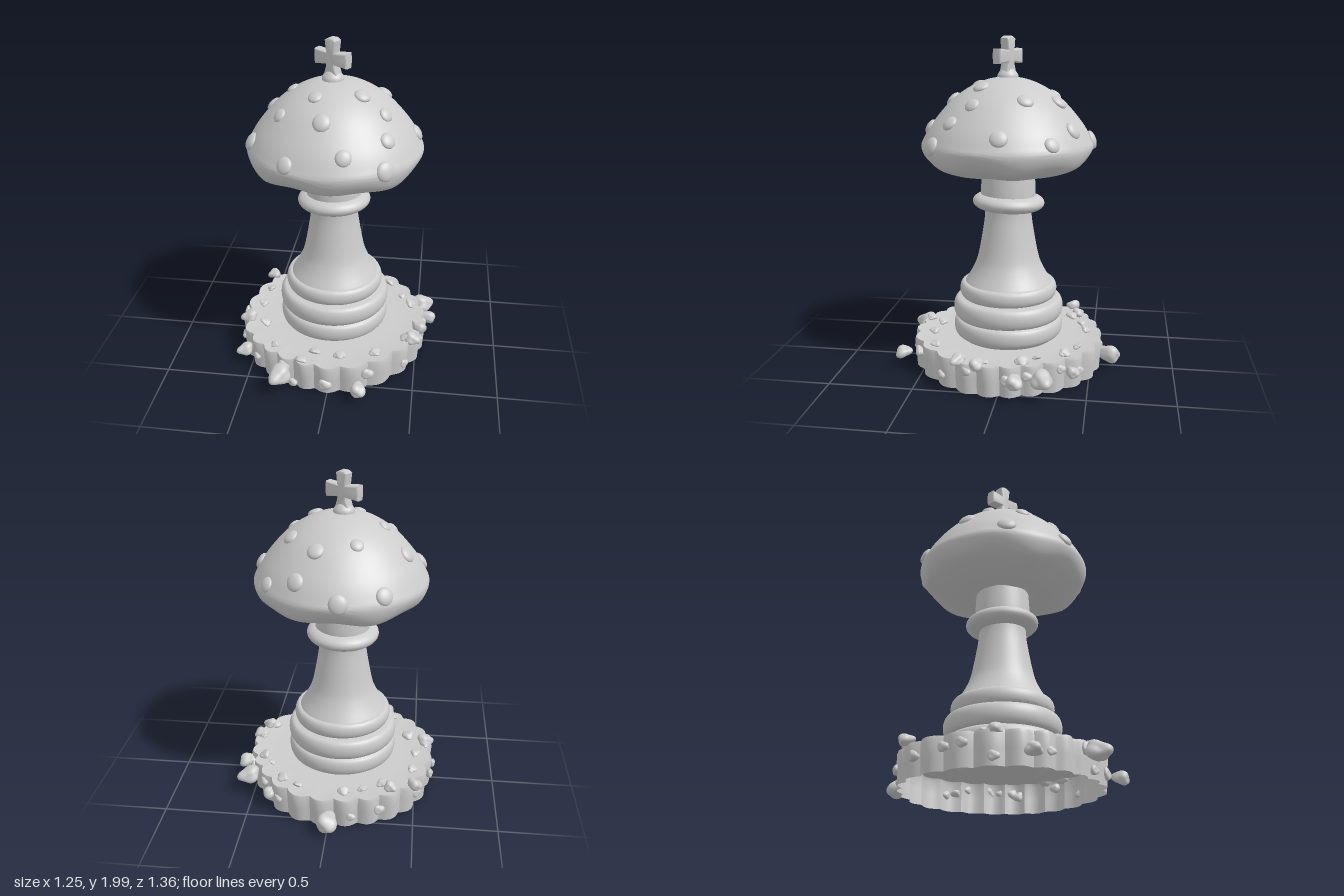
import * as THREE from 'three';
import { mergeVertices, toCreasedNormals } from 'three/addons/utils/BufferGeometryUtils.js';

const grey = new THREE.MeshStandardMaterial({ color: 0xcccccc });
const greyDouble = new THREE.MeshStandardMaterial({ color: 0xcccccc, side: THREE.DoubleSide });

let seed = 7;
const rand = () => (seed = (seed * 16807) % 2147483647) / 2147483647;
const span = (a, b) => a + (b - a) * rand();

const pts = list => list.map(([x, y]) => new THREE.Vector2(x, y));

// Smooth curve through a few profile points
const smooth = (list, n) => new THREE.SplineCurve(pts(list)).getPoints(n);

// Half-round bead for a turned profile
function bead(rIn, rOut, y0, y1) {
  return Array.from({ length: 13 }, (_, i) => {
    const a = -Math.PI / 2 + Math.PI * i / 12;
    return new THREE.Vector2(rIn + (rOut - rIn) * Math.cos(a), (y0 + y1) / 2 + (y1 - y0) / 2 * Math.sin(a));
  });
}

function add(parent, name, geometry, material = grey) {
  const mesh = new THREE.Mesh(geometry, material);
  mesh.name = name;
  parent.add(mesh);
  return mesh;
}

// Move every vertex by a rule
function warp(geometry, rule) {
  const p = geometry.attributes.position;
  const v = new THREE.Vector3();
  for (let i = 0; i < p.count; i++) {
    rule(v.fromBufferAttribute(p, i));
    p.setXYZ(i, v.x, v.y, v.z);
  }
  return geometry;
}

// Lumpy rounded stone
function stoneGeometry(k) {
  const sphere = new THREE.IcosahedronGeometry(1, 5);
  sphere.deleteAttribute('uv');
  sphere.deleteAttribute('normal');
  const stone = warp(mergeVertices(sphere), v => {
    v.multiplyScalar(1 + 0.16 * (Math.sin(3 * v.x + k) * Math.cos(3 * v.y - k) + 0.6 * Math.sin(4 * v.z + 2 * k + v.y)));
  });
  stone.computeVertexNormals();
  return stone;
}

// Upper cap profile: radius, height
const capTop = [[0.51, 1.36], [0.49, 1.42], [0.435, 1.51], [0.33, 1.63], [0.22, 1.71], [0.11, 1.755], [0, 1.77]];

// Height and steepness of the cap at a radius
function capSurface(r) {
  const i = Math.max(1, capTop.findIndex(p => p[0] <= r));
  const [r0, y0] = capTop[i - 1], [r1, y1] = capTop[i];
  const slope = (y1 - y0) / (r0 - r1);
  return { y: Math.max(y0, y0 + slope * (r0 - r)), slope };
}

function buildBase() {
  const base = new THREE.Group();
  base.name = 'base';
  // Scalloped wall and floor, hollow underneath
  const profile = pts([[0.555, 0.012], [0.56, 0.1], [0.565, 0.175], [0.56, 0.195], [0.49, 0.185], [0.4, 0.182], [0.001, 0.182]]);
  const geometry = warp(new THREE.LatheGeometry(profile, 288), v => {
    const a = Math.atan2(v.z, v.x);
    const fade = Math.pow(Math.hypot(v.x, v.z) / 0.56, 6);
    const lobe = Math.abs(Math.sin(12 * a + 0.5 * Math.sin(3 * a) + 0.5 * Math.cos(2 * a)));
    const f = 1 + fade * (0.055 * lobe - 0.025 + 0.012 * Math.sin(5 * a + 1));
    v.x *= f;
    v.z *= f;
  });
  add(base, 'scallopedBase', toCreasedNormals(geometry, 0.6), greyDouble);
  base.position.set(-0.033, 0, 0.012);
  return base;
}

function buildDebris() {
  const debris = new THREE.Group();
  debris.name = 'debris';
  const shapes = [0, 1.3, 2.9, 4.4].map(stoneGeometry);
  let count = 0;
  // Half sizes run across, up and outward
  const stone = (name, x, y, z, across, up, out, tilt) => {
    const mesh = add(debris, name, shapes[count++ % 4]);
    mesh.position.set(x, y, z);
    mesh.scale.set(across, up, out);
    mesh.rotation.y = Math.atan2(x, z);
    mesh.rotateX(tilt);
  };
  // Large stones: position and size
  [[0, 0.09, -0.615, 0.065], [0.53, 0.13, -0.255, 0.065], [0.57, 0.13, -0.1, 0.05],
    [-0.285, 0.13, 0.6, 0.07], [0.185, 0.1, 0.635, 0.048], [-0.55, 0.09, 0.335, 0.048],
    [-0.5, 0.21, -0.36, 0.042], [-0.56, 0.2, 0.14, 0.05], [0.37, 0.12, -0.41, 0.04],
    [0.48, 0.2, 0.24, 0.045], [0.52, 0.2, 0.12, 0.042], [-0.36, 0.21, -0.4, 0.038]
  ].forEach(([x, y, z, s]) => stone('largeStone', x, y, z, s * 0.9, s * 0.75, s * 1.05, 0.3));
  // Pebbles on the wall, chips along the top edge
  for (let i = 0; i < 18; i++) {
    const a = (i + span(0.1, 0.9)) / 18 * Math.PI * 2, s = span(0.02, 0.034);
    stone('pebble', 0.575 * Math.sin(a) - 0.033, span(0.04, 0.16), 0.575 * Math.cos(a) + 0.012, s * 1.2, s, s * 0.8, 0);
    const b = a + 0.17, r = span(0.44, 0.55), c = span(0.022, 0.042);
    stone('chip', r * Math.sin(b) - 0.033, 0.205, r * Math.cos(b) + 0.012, c, c * 0.45, c * 0.85, span(-0.6, 0.6));
  }
  return debris;
}

function buildStem() {
  const stem = new THREE.Group();
  stem.name = 'stem';
  // Turned foot with three beads, then a flared column
  const profile = [
    ...smooth([[0.001, 0.12], [0.2, 0.125], [0.3, 0.19]], 10),
    ...bead(0.31, 0.335, 0.2, 0.305), ...bead(0.305, 0.337, 0.31, 0.43), ...bead(0.27, 0.297, 0.435, 0.53),
    ...smooth([[0.262, 0.53], [0.215, 0.61], [0.182, 0.7], [0.146, 0.9], [0.14, 0.99]], 24)
  ];
  add(stem, 'column', toCreasedNormals(new THREE.LatheGeometry(profile, 72), 0.7), greyDouble);
  const collar = add(stem, 'collar', new THREE.LatheGeometry(bead(0.13, 0.217, 0, 0.1), 72));
  collar.position.y = 0.972;
  collar.rotation.set(-0.04, 0, 0.02);
  add(stem, 'neck', new THREE.LatheGeometry(smooth([[0.158, 1.03], [0.165, 1.08], [0.152, 1.32]], 16), 72), greyDouble);
  stem.position.set(-0.03, 0, 0.017);
  return stem;
}

function buildCap() {
  const cap = new THREE.Group();
  cap.name = 'cap';
  // Underside bulges below a slightly wavy rim and dips in around the neck
  const profile = smooth([[0.13, 1.23], [0.2, 1.2], [0.29, 1.205], [0.4, 1.24], [0.475, 1.285], ...capTop], 90);
  const shell = warp(new THREE.LatheGeometry(profile, 96), v => {
    const r = Math.hypot(v.x, v.z), a = Math.atan2(v.z, v.x);
    const w = Math.max(0, 1 - Math.abs(v.y - 1.28) / 0.12) * r / 0.51;
    v.y += w * (0.014 * Math.sin(7 * a) + 0.01 * Math.sin(4 * a + 1));
  });
  add(cap, 'capShell', toCreasedNormals(shell, 0.8), greyDouble);

  // Raised spots lying on the surface, larger towards the rim
  const spotGeometry = new THREE.SphereGeometry(1, 24, 16);
  const up = new THREE.Vector3(0, 1, 0);
  [[-0.03, -0.495], [-0.27, -0.405], [-0.11, -0.27], [0.11, -0.31], [0.21, -0.4], [0.385, -0.3], [0.27, -0.14],
    [-0.375, -0.11], [-0.245, -0.02], [0.464, -0.02], [-0.456, 0.16], [-0.28, 0.205], [-0.085, 0.183],
    [0.165, 0.125], [0.297, 0.155], [0.319, 0.277], [-0.03, 0.33], [-0.215, 0.44], [0.1, 0.442], [0.318, 0.385]
  ].forEach(([x, z], i) => {
    const r = Math.hypot(x, z), { y, slope } = capSurface(r);
    const s = 0.037 + 0.024 * r + 0.005 * Math.sin(2 * i + 1);
    const spot = add(cap, 'capSpot', spotGeometry);
    spot.position.set(x, y, z);
    spot.quaternion.setFromUnitVectors(up, new THREE.Vector3(x / r * slope, 1, z / r * slope).normalize());
    spot.scale.set(s, s * 0.5, s * 1.05);
  });
  cap.position.set(-0.022, 0, 0.02);
  return cap;
}

function buildCross() {
  const cross = new THREE.Group();
  cross.name = 'finial';
  // Flared cross outline, mirrored from its right half
  const half = [[0.04, 0], [0.02, 0.06], [0.018, 0.088], [0.097, 0.08], [0.1, 0.115], [0.097, 0.142],
    [0.018, 0.135], [0.026, 0.205], [0.012, 0.213]];
  const outline = pts([...half, ...half.slice().reverse().map(([x, y]) => [-x, y])]);
  const geometry = new THREE.ExtrudeGeometry(new THREE.Shape(outline),
    { depth: 0.036, bevelThickness: 0.014, bevelSize: 0.012, bevelSegments: 4 });
  geometry.translate(0, 0, -0.018);
  add(cross, 'cross', toCreasedNormals(geometry, 0.9)).position.y = 1.775;
  add(cross, 'crossFoot', new THREE.LatheGeometry(smooth([[0.06, 1.74], [0.06, 1.78], [0.025, 1.82], [0, 1.825]], 16), 32));
  cross.position.set(-0.035, 0, 0.02);
  cross.rotation.y = -0.5;
  return cross;
}

export function createModel() {
  const model = new THREE.Group();
  model.name = 'mushroomChessPiece';
  model.add(buildBase(), buildDebris(), buildStem(), buildCap(), buildCross());
  return model;
}
